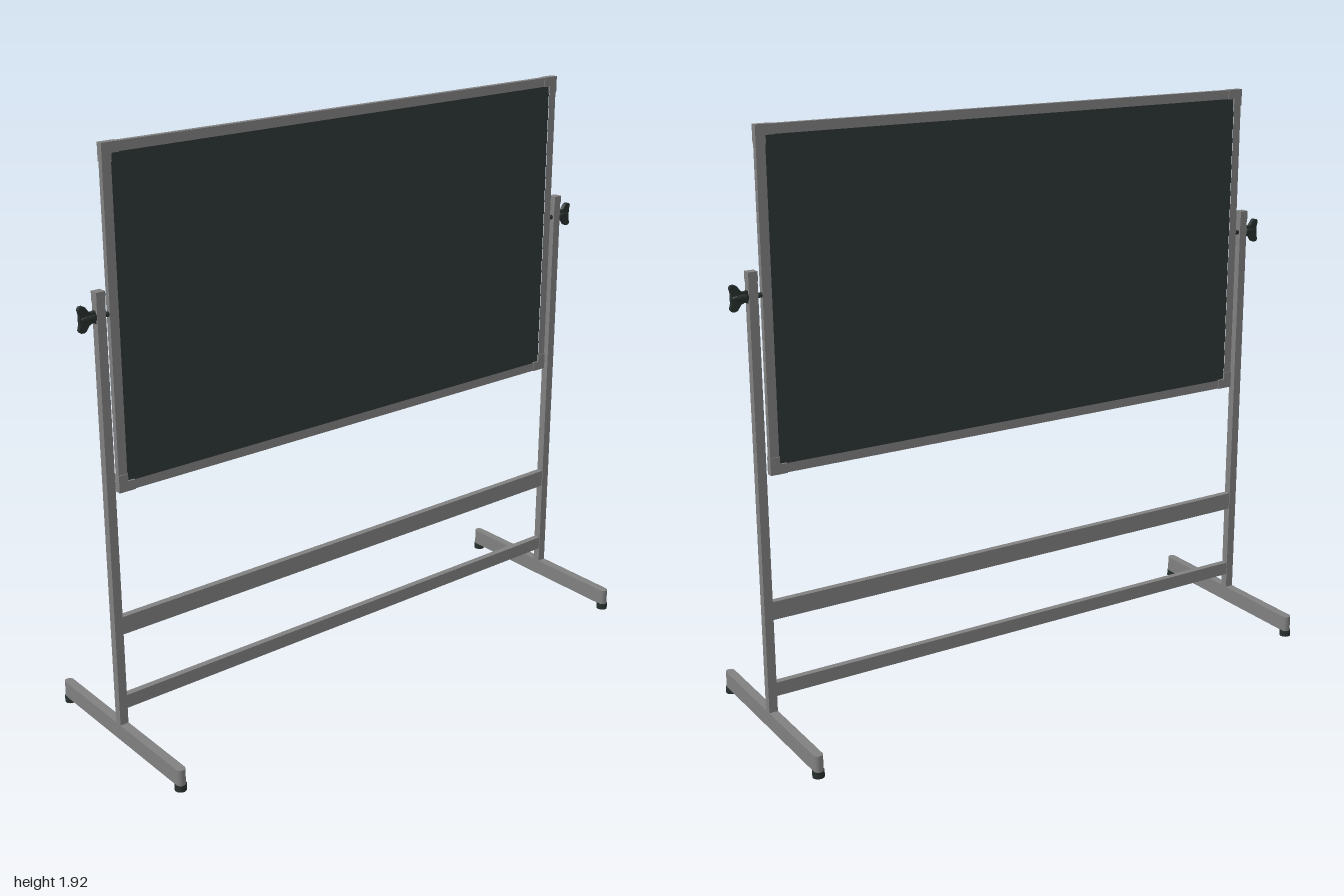
import * as THREE from 'three';

const metal = new THREE.MeshStandardMaterial({ name: 'grey metal', color: 0x808080 });
const slate = new THREE.MeshStandardMaterial({ name: 'dark slate', color: 0x2d3735 });
const plastic = new THREE.MeshStandardMaterial({ name: 'dark plastic', color: 0x27302e });

const POST_Z = 0.929, POST_W = 0.029;
const BOARD_Z = 0.9, BOARD_Y = 1.389, BOARD_H = 0.53, FRAME_W = 0.031;
const KNOB_Y = 1.42;

function add(parent, name, geometry, material, x = 0, y = 0, z = 0) {
  const mesh = new THREE.Mesh(geometry, material);
  mesh.name = name;
  mesh.position.set(x, y, z);
  parent.add(mesh);
  return mesh;
}

const box = (w, h, d) => new THREE.BoxGeometry(w, h, d);

// Outline given as [z, y], extruded along x and centred on x = 0
function plate(points, thickness, hole) {
  const toPoints = list => list.map(([z, y]) => new THREE.Vector2(-z, y));
  const shape = new THREE.Shape(toPoints(points));
  if (hole) shape.holes.push(new THREE.Path(toPoints(hole)));
  const geometry = new THREE.ExtrudeGeometry(shape, { depth: thickness, bevelEnabled: false });
  return geometry.translate(0, 0, -thickness / 2).rotateY(Math.PI / 2);
}

const rect = (a, b) => [[-a, -b], [a, -b], [a, b], [-a, b]];

function createBoard() {
  const board = new THREE.Group();
  board.name = 'board';
  board.position.y = BOARD_Y;
  const innerZ = BOARD_Z - FRAME_W, innerY = BOARD_H - FRAME_W;
  add(board, 'writingPanel', box(0.01, 2 * innerY + 0.004, 2 * innerZ + 0.004), slate);
  add(board, 'boardFrame', plate(rect(BOARD_Z - 0.001, BOARD_H - 0.001), 0.018, rect(innerZ, innerY)), metal);

  // L-shaped corner caps
  const arm = 0.056, w = FRAME_W + 0.001;
  for (const sz of [-1, 1]) for (const sy of [-1, 1]) {
    const outline = [[0, 0], [arm, 0], [arm, w], [w, w], [w, arm], [0, arm]]
      .map(([z, y]) => [sz * (BOARD_Z - z), sy * (BOARD_H - y)]);
    add(board, 'cornerCap', plate(outline, 0.023), metal);
  }
  return board;
}

// Flat wing knob whose axis runs along +z from the post
function createKnob() {
  const knob = new THREE.Group();
  knob.name = 'wingKnob';
  const half = [[0.944, 0.019], [0.956, 0.016], [0.966, 0.02], [0.977, 0.036],
    [0.984, 0.04], [0.995, 0.039], [1, 0.032], [0.996, 0.016]];
  const outline = [...half, ...half.map(([z, y]) => [z, -y]).reverse()];
  add(knob, 'wings', plate(outline, 0.014), plastic, 0, KNOB_Y);
  const hub = [[0, 0.943], [0.013, 0.943], [0.013, 0.955], [0.011, 0.975], [0.009, 0.992], [0, 0.994]]
    .map(([r, z]) => new THREE.Vector2(r, z));
  add(knob, 'hub', new THREE.LatheGeometry(hub, 20).rotateX(Math.PI / 2), plastic, 0, KNOB_Y);
  // Pivot pin between the post and the board
  const pin = new THREE.CylinderGeometry(0.008, 0.008, 0.06, 16).rotateX(Math.PI / 2);
  add(knob, 'pivotPin', pin, plastic, 0, KNOB_Y, 0.923);
  return knob;
}

function createSide(name, sign) {
  const side = new THREE.Group();
  side.name = name;
  add(side, 'post', box(0.027, 1.4, POST_W), metal, 0, 0.77, POST_Z);
  add(side, 'postCap', box(0.03, 0.03, POST_W + 0.001), metal, 0, 1.48, POST_Z);

  // Foot bar with rounded ends
  const r = 0.015, end = 0.347 - r;
  const shape = new THREE.Shape();
  shape.absarc(end, 0, r, -Math.PI / 2, Math.PI / 2);
  shape.absarc(-end, 0, r, Math.PI / 2, Math.PI * 1.5);
  const bar = new THREE.ExtrudeGeometry(shape, { depth: 0.055, bevelEnabled: false, curveSegments: 10 });
  add(side, 'footBar', bar.rotateX(-Math.PI / 2), metal, 0, 0.02, POST_Z);
  for (const sx of [-1, 1]) {
    add(side, 'footPad', new THREE.CylinderGeometry(0.019, 0.019, 0.021, 20), plastic, sx * 0.33, 0.0105, POST_Z);
  }
  side.add(createKnob());
  if (sign < 0) side.rotation.y = Math.PI;
  return side;
}

export function createModel() {
  const model = new THREE.Group();
  model.name = 'pivotingChalkboard';
  model.add(createBoard(), createSide('frontStand', 1), createSide('backStand', -1));

  // Rails joining the two stands
  const length = 2 * POST_Z - POST_W;
  add(model, 'upperRail', box(0.022, 0.06, length), metal, 0, 0.417, 0);
  add(model, 'lowerRail', box(0.022, 0.046, length), metal, 0, 0.149, 0);
  return model;
}
